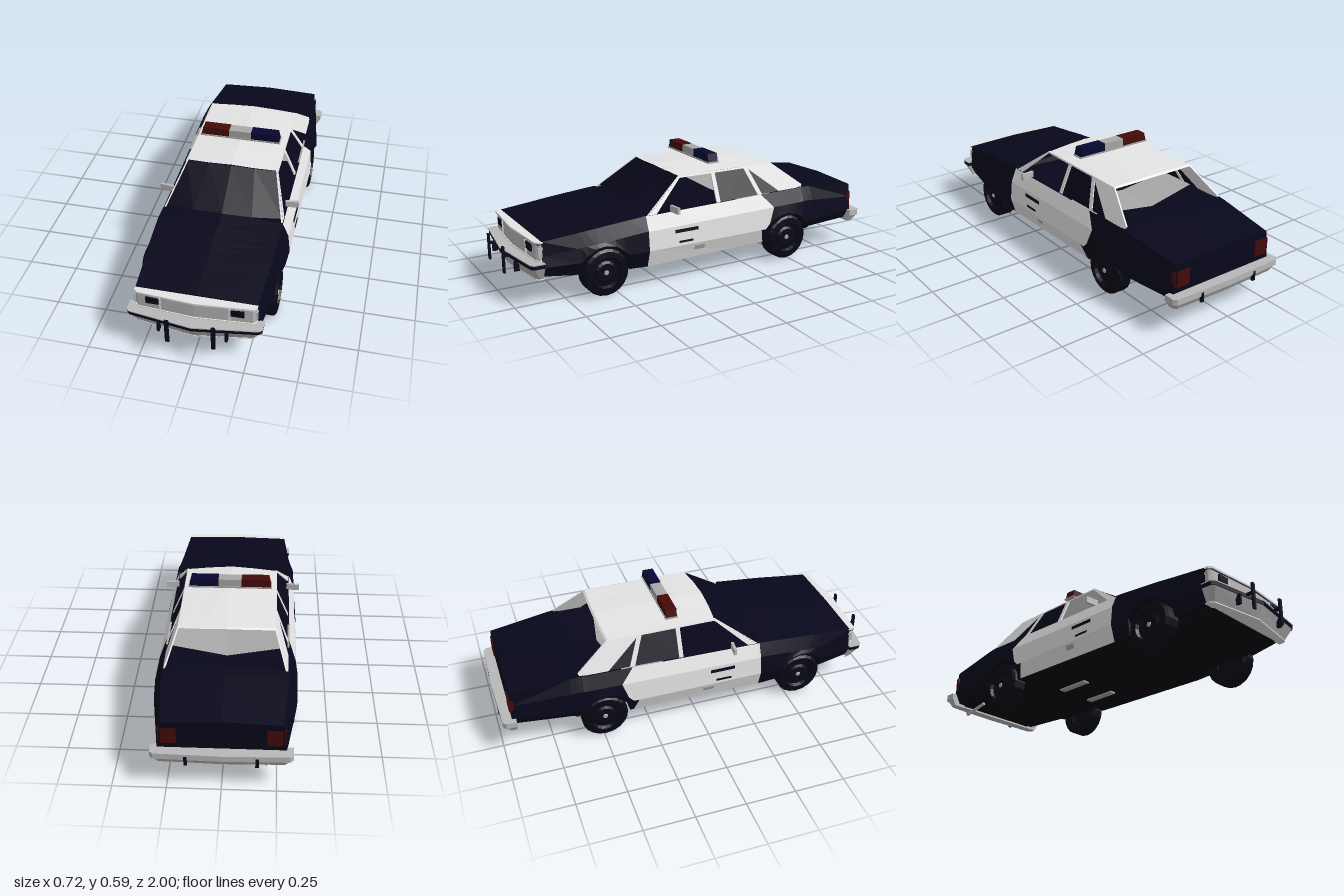
import * as THREE from 'three';

const mat = (name, color) => {
  const m = new THREE.MeshStandardMaterial({ color, side: THREE.DoubleSide, flatShading: true });
  m.name = name;
  return m;
};

export function createModel() {
  const car = new THREE.Group();
  car.name = 'patrolCar';
  const navy = mat('navyPaint', 0x07071b), white = mat('whitePaint', 0xe4e4e4), chrome = mat('chromeGrey', 0xb8b8b8);
  const black = mat('underbodyBlack', 0x05050c), glass = mat('darkGlass', 0x07071a), tyre = mat('tyreRubber', 0x070714);
  const red = mat('redLens', 0x450a09), blue = mat('blueLens', 0x070732), grey = mat('cabinGrey', 0xa8a8a8);

  const add = (name, geo, m, parent = car) => {
    const mesh = new THREE.Mesh(geo, m);
    mesh.name = name;
    parent.add(mesh);
    return mesh;
  };
  const box = (name, m, w, h, d, x, y, z) => {
    const mesh = add(name, new THREE.BoxGeometry(w, h, d), m);
    mesh.position.set(x, y, z);
    return mesh;
  };
  const shapeOf = pts => new THREE.Shape(pts.map(p => new THREE.Vector2(...p)));
  const surface = tris => {
    const g = new THREE.BufferGeometry();
    g.setAttribute('position', new THREE.Float32BufferAttribute(tris.flat(), 3));
    g.computeVertexNormals();
    return g;
  };
  const quad = (out, a, b, c, d) => out.push(a, b, c, a, c, d);
  // Skin between rows of points
  const sheet = rows => {
    const out = [];
    for (let i = 0; i + 1 < rows.length; i++)
      for (let j = 0; j + 1 < rows[i].length; j++)
        quad(out, rows[i][j], rows[i][j + 1], rows[i + 1][j + 1], rows[i + 1][j]);
    return surface(out);
  };
  // Shallow V in plan, extruded upwards; the bottom can be pulled in
  const vBar = (name, m, w, zBack, zEdge, zMid, y0, y1, pull = 0) => {
    const g = new THREE.ExtrudeGeometry(
      shapeOf([[-w, zBack], [w, zBack], [w, zEdge - 0.015], [w - 0.015, zEdge], [0, zMid], [0.015 - w, zEdge], [-w, zEdge - 0.015]]),
      { depth: y1 - y0, bevelEnabled: false }).rotateX(Math.PI / 2).translate(0, y1, 0);
    const p = g.attributes.position;
    for (let i = 0; i < p.count; i++)
      if (p.getY(i) < y0 + 0.001) {
        p.setX(i, p.getX(i) * (1 - pull * 3));
        if (p.getZ(i) > zBack + 0.001) p.setZ(i, p.getZ(i) - pull);
      }
    g.computeVertexNormals();
    return add(name, g, m);
  };

  // Lower body: z, belt x, crease x, belt y, centre y, sill y, floor y
  const keys = [
    [0.868, 0.287, 0.302, 0.313, 0.32, 0.14, 0.125], [0.7, 0.295, 0.324, 0.328, 0.336, 0.125, 0.1],
    [0.6, 0.3, 0.336, 0.338, 0.347, 0.115, 0.078], [0.34, 0.305, 0.345, 0.36, 0.38, 0.105, 0.076],
    [0.33, 0.305, 0.345, 0.357, 0.345, 0.105, 0.076], [-0.575, 0.303, 0.345, 0.372, 0.348, 0.12, 0.09],
    [-0.59, 0.302, 0.345, 0.375, 0.388, 0.13, 0.095], [-0.65, 0.298, 0.338, 0.37, 0.383, 0.15, 0.135],
    [-0.945, 0.275, 0.292, 0.335, 0.346, 0.145, 0.14]];
  const axles = [0.565, -0.49], archR = 0.13;
  const stations = [...keys.map(k => k[0]), -0.2, -0.34];
  for (const zc of axles)
    for (let i = 0; i <= 8; i++) stations.push(zc + archR * Math.cos(i * Math.PI / 8));
  stations.sort((a, b) => b - a);
  const section = z => {
    let i = 0;
    while (i < keys.length - 2 && z < keys[i + 1][0]) i++;
    const t = (keys[i][0] - z) / (keys[i][0] - keys[i + 1][0]);
    const [, bx, cx, by, top, sill, floor] = keys[i].map((v, k) => v + (keys[i + 1][k] - v) * t);
    let sy = sill;
    for (const zc of axles) {
      const d = archR ** 2 - (z - zc) ** 2;
      if (d > 0) sy = Math.max(sy, 0.115 + Math.sqrt(d));
    }
    const crease = Math.max(0.19, sy + 0.01);
    // Rear door edge curves forwards above and below its widest point
    const sweep = Math.max(0, Math.min((-0.1 - z) / 0.3, (z + 0.59) / 0.19));
    return [[0, top, z], [bx, by, z + 0.065 * sweep], [cx - 0.01, Math.max(by - 0.07, crease + 0.01), z],
      [cx, crease, z + 0.03 * sweep], [cx - (sy > 0.18 ? 0.002 : 0.025), sy, z], [0.24, sy, z],
      [0.235, Math.max(floor, Math.min(sill, 0.1)), z], [0, floor, z]];
  };
  const flip = ([x, y, z]) => [-x, y, z];
  const skins = { bodyPaint: [], doorPanels: [], underbody: [], rearBench: [] };
  const rows = stations.map(section);
  for (let i = 0; i + 1 < rows.length; i++)
    for (let j = 0; j < 7; j++) {
      const zm = (stations[i] + stations[i + 1]) / 2;
      let key = j > 3 ? 'underbody' : 'bodyPaint';
      if (j > 0 && j < 4 && zm < 0.34 && zm > (j === 3 ? -0.34 : -0.4)) key = 'doorPanels';
      if (j === 0 && zm < -0.2 && zm > -0.44) key = 'rearBench';
      const [a, b, c, d] = [rows[i][j], rows[i][j + 1], rows[i + 1][j + 1], rows[i + 1][j]];
      quad(skins[key], a, b, c, d);
      quad(skins[key], flip(a), flip(d), flip(c), flip(b));
    }
  // End walls
  for (const [row, front] of [[rows[0], true], [rows[rows.length - 1], false]])
    for (let j = 0; j < 7; j++) {
      const q = [flip(row[j]), flip(row[j + 1]), row[j + 1], row[j]];
      quad(skins.bodyPaint, ...(front ? q : q.reverse()));
    }
  const skinMats = { bodyPaint: navy, doorPanels: white, underbody: black, rearBench: grey };
  for (const k in skins) add(k, surface(skins[k]), skinMats[k]);

  // Glasshouse sides, drawn in (z, y) and leaned inwards
  const openings = [
    [[0.285, 0.352], [0.115, 0.504], [-0.068, 0.504], [-0.068, 0.352]],
    [[-0.09, 0.352], [-0.09, 0.504], [-0.265, 0.504], [-0.325, 0.354]],
    [[-0.292, 0.497], [-0.35, 0.357], [-0.46, 0.365]]];
  const lean = (geo, side, inset = 0) => {
    const p = geo.attributes.position;
    for (let i = 0; i < p.count; i++) {
      const z = p.getX(i), y = p.getY(i);
      p.setXYZ(i, side * (0.307 - (y - 0.345) * 0.43 - inset - p.getZ(i)), y, z);
    }
    if (side > 0) geo.setIndex([...geo.index ? geo.index.array : Array(p.count).keys()].reverse());
    geo.computeVertexNormals();
    return geo;
  };
  for (const side of [1, -1]) {
    const frame = shapeOf([[0.335, 0.352], [0.12, 0.512], [-0.44, 0.51], [-0.605, 0.385], [-0.58, 0.345], [0.32, 0.345]]);
    frame.holes = openings.map(o => new THREE.Path(o.map(p => new THREE.Vector2(...p))));
    add('windowFrame', lean(new THREE.ExtrudeGeometry(frame, { depth: 0.008, bevelEnabled: false }), side), white);
    for (const o of openings.slice(1))
      add('rearSideGlass', lean(new THREE.ShapeGeometry(shapeOf(o)), side, 0.004), glass);
  }

  // Roof, windscreen and rear window header
  const across = (w, yEdge, yMid, zEdge, zMid) => [-1, -0.5, 0, 0.5, 1].map(s => {
    const t = Math.abs(s);
    return [s * w, yMid + (yEdge - yMid) * t, zMid + (zEdge - zMid) * t * t];
  });
  add('roof', sheet([across(0.232, 0.511, 0.518, -0.436, -0.445), across(0.234, 0.514, 0.531, 0, 0),
    across(0.236, 0.511, 0.524, 0.115, 0.13)].map(r => r.reverse())), white);
  add('windscreen', sheet([across(0.236, 0.51, 0.521, 0.118, 0.133), across(0.298, 0.368, 0.381, 0.31, 0.35)]), glass);
  add('rearHeader', sheet([across(0.232, 0.511, 0.518, -0.436, -0.445), across(0.236, 0.504, 0.51, -0.446, -0.455)].map(r => r.reverse())), white);

  // Nose: header panel, grille and lamps
  vBar('headerPanel', white, 0.288, 0.862, 0.9, 0.92, 0.304, 0.313);
  vBar('grille', chrome, 0.285, 0.86, 0.893, 0.912, 0.215, 0.299);
  vBar('grilleLowerTrim', white, 0.288, 0.86, 0.897, 0.917, 0.217, 0.223);
  vBar('grilleUpperLine', navy, 0.287, 0.86, 0.895, 0.914, 0.299, 0.304);
  for (const s of [1, -1]) {
    box('headlight', glass, 0.062, 0.034, 0.012, s * 0.2, 0.273, 0.899);
    box('headlightDivider', white, 0.006, 0.07, 0.014, s * 0.163, 0.261, 0.899);
    box('cornerLamp', chrome, 0.006, 0.05, 0.025, s * 0.287, 0.262, 0.875);
  }

  // Front bumper and push bars
  vBar('frontBumperTop', chrome, 0.32, 0.865, 0.935, 0.978, 0.213, 0.218);
  vBar('frontBumperStrip', navy, 0.318, 0.866, 0.933, 0.976, 0.194, 0.213);
  vBar('frontBumper', chrome, 0.316, 0.866, 0.93, 0.972, 0.134, 0.194, 0.03);
  vBar('frontBumperLip', white, 0.289, 0.86, 0.902, 0.944, 0.129, 0.134);
  for (const s of [1, -1]) {
    box('pushBar', navy, 0.019, 0.132, 0.01, s * 0.108, 0.192, 0.995);
    box('pushBarArm', navy, 0.012, 0.012, 0.06, s * 0.108, 0.21, 0.965);
    box('pushBarBracket', navy, 0.012, 0.05, 0.025, s * 0.16, 0.17, 0.95);
  }

  // Rear bumper, lamps and exhaust
  const rear = [vBar('rearBumper', chrome, 0.322, 0.925, 0.992, 1, 0.165, 0.195),
    vBar('rearBumperLower', chrome, 0.318, 0.925, 0.988, 0.996, 0.13, 0.165, 0.02)];
  rear.forEach(b => { b.rotation.y = Math.PI; });
  for (const s of [1, -1]) {
    box('tailLight', red, 0.07, 0.078, 0.008, s * 0.238, 0.262, -0.947);
    box('tailLightSide', red, 0.006, 0.07, 0.02, s * 0.284, 0.262, -0.936);
    box('bumperGuard', navy, 0.016, 0.05, 0.012, s * 0.16, 0.158, -0.99);
    box('floorPanel', grey, 0.035, 0.008, 0.18, s * 0.1, 0.087, -0.16);
  }
  const pipe = add('exhaustPipe', new THREE.CylinderGeometry(0.009, 0.009, 0.15, 6).rotateX(Math.PI / 2), chrome);
  pipe.position.set(-0.2, 0.117, -0.865);
  pipe.rotation.x = -0.19;

  // Door mirrors and door markings
  for (const s of [1, -1]) {
    box('doorMirror', chrome, 0.068, 0.033, 0.014, s * 0.326, 0.374, 0.19).rotation.y = s * 0.12;
    const marks = [['doorStripe', navy, 0.016, 0.13, 0.338, 0.265, 0.13, 0.1], ['doorStripeSmall', navy, 0.01, 0.08, 0.343, 0.21, 0.135, 0.1],
      ['doorBadge', grey, 0.024, 0.055, 0.3385, 0.165, 0.055, -0.29]];
    for (const [name, m, h, d, x, y, z, tilt] of marks)
      box(name, m, 0.005, h, d, s * x, y, z).rotation.z = s * tilt;
  }

  // Wheels
  for (const zc of axles)
    for (const s of [1, -1]) {
      const wheel = new THREE.Group();
      wheel.name = 'wheel';
      wheel.position.set(s * 0.292, 0.118, zc);
      wheel.rotation.z = -s * Math.PI / 2;
      car.add(wheel);
      const profile = [[0.06, -0.042], [0.106, -0.042], [0.118, -0.032], [0.118, 0.032], [0.106, 0.042], [0.078, 0.044], [0.07, 0.028], [0.001, 0.028]];
      add('tyre', new THREE.LatheGeometry(profile.map(p => new THREE.Vector2(...p)), 20), tyre, wheel);
      add('wheelDisc', new THREE.CylinderGeometry(0.045, 0.06, 0.01, 16).translate(0, 0.031, 0), navy, wheel);
      add('hubCap', new THREE.CylinderGeometry(0.01, 0.014, 0.006, 8).translate(0, 0.038, 0), grey, wheel);
    }

  // Roof light bar
  const lens = (name, m, pts) => add(name, new THREE.ExtrudeGeometry(shapeOf(pts), { depth: 0.056, bevelEnabled: false }).translate(0, 0, -0.128), m);
  box('lightBarBase', grey, 0.42, 0.007, 0.064, 0, 0.549, -0.1);
  lens('redLight', red, [[-0.206, 0.552], [-0.058, 0.552], [-0.058, 0.593], [-0.196, 0.593]]);
  lens('centreLight', grey, [[-0.058, 0.552], [0.058, 0.552], [0.058, 0.591], [-0.058, 0.591]]);
  lens('blueLight', blue, [[0.058, 0.552], [0.206, 0.552], [0.196, 0.593], [0.058, 0.593]]);
  return car;
}
